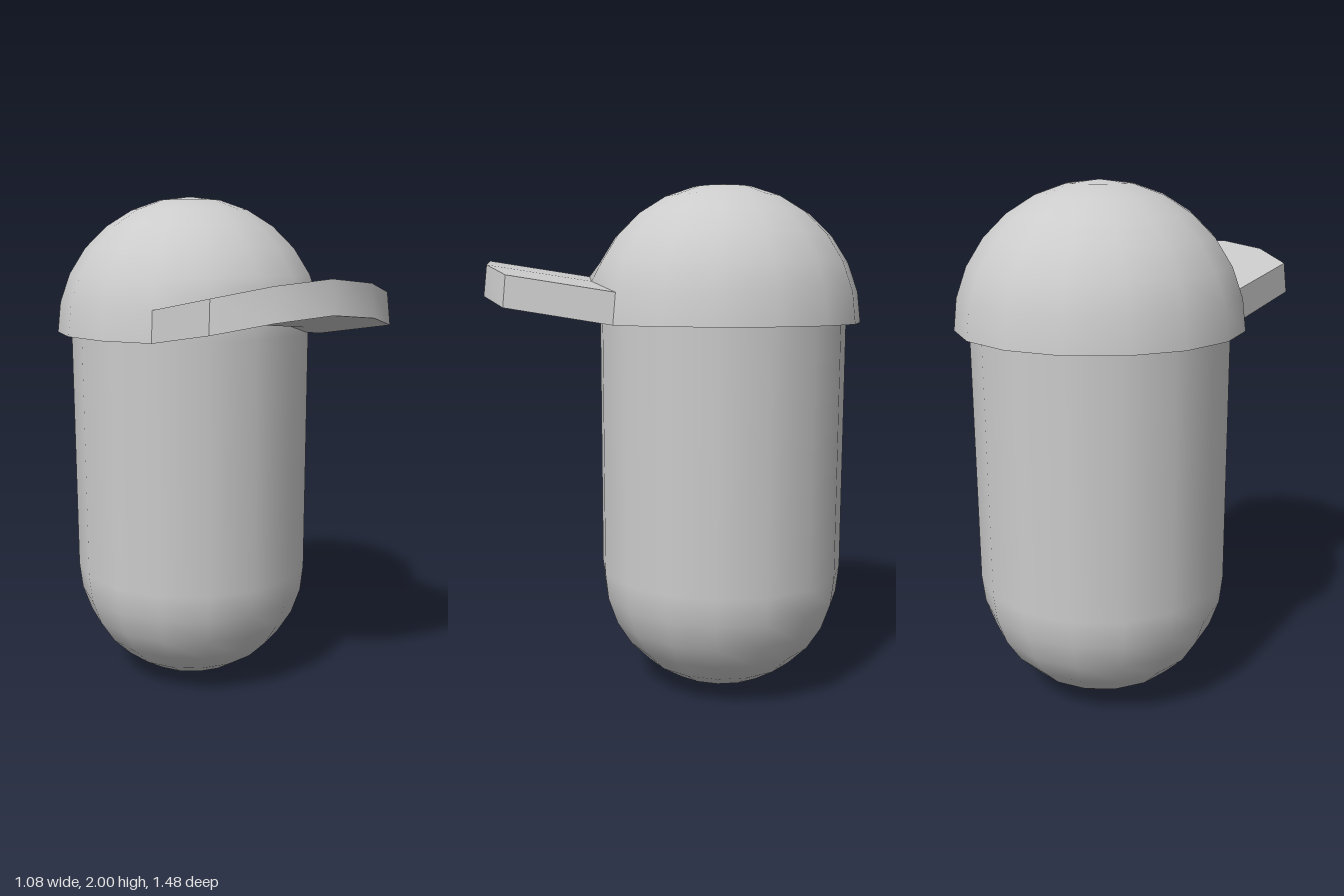
import * as THREE from 'three';
import { toCreasedNormals } from 'three/addons/utils/BufferGeometryUtils.js';

const SIDES = 16, STEP = Math.PI / 8;      // facets around
const RINGS = 7;                           // rings per half dome
const CENTRE_Z = -0.197, BASE_Y = 1.47;
const CAP_R = 0.54, CAP_H = 0.53;
const LIFT = [0.06, 0.04];                 // raised front edge of the cap, from the middle outwards

const material = new THREE.MeshStandardMaterial({ color: 0xcccccc, side: THREE.DoubleSide });

function add(parent, name, geometry) {
  const mesh = new THREE.Mesh(geometry, material);
  mesh.name = name;
  parent.add(mesh);
  return mesh;
}

const frontLift = (angle) => LIFT[Math.round(Math.abs(angle) / STEP)] ?? 0;

// Radius and height of a ring of the cap
function ring(j) {
  const a = (j / RINGS) * Math.PI / 2;
  return new THREE.Vector2(j === RINGS ? 0 : CAP_R * Math.cos(a), BASE_Y + CAP_H * Math.sin(a));
}

// Lathe whose lowest rings rise at the front
function liftedLathe(points) {
  const geometry = new THREE.LatheGeometry(points, SIDES);
  const p = geometry.attributes.position;
  for (let i = 0; i < p.count; i++) {
    if (p.getY(i) < 1.6) p.setY(i, p.getY(i) + frontLift(Math.atan2(p.getX(i), p.getZ(i))));
  }
  return geometry;
}

// Visor pulled forward and up from the two lowest rings of the cap
function visorGeometry() {
  const position = [], index = [];
  for (let i = -2; i <= 2; i++) {
    const a = i * STEP;
    const [low, high] = [0, 1].map((j) => {
      const r = ring(j);
      return [r.x * Math.sin(a), r.y + frontLift(a), r.x * Math.cos(a)];
    });
    const out = ([x, y, z]) => [x, y + 0.062, z + 0.4];
    position.push(...low, ...out(low), ...out(high), ...high);
  }
  for (let i = 0; i < 4; i++) {
    for (let k = 0; k < 4; k++) {
      const a = i * 4 + k, b = i * 4 + (k + 1) % 4;
      index.push(a, a + 4, b, b, a + 4, b + 4);
    }
  }
  index.push(0, 1, 2, 0, 2, 3, 16, 18, 17, 16, 19, 18);   // side edges
  const geometry = new THREE.BufferGeometry();
  geometry.setAttribute('position', new THREE.Float32BufferAttribute(position, 3));
  geometry.setIndex(index);
  return toCreasedNormals(geometry, 0.6);
}

export function createModel() {
  const model = new THREE.Group();
  model.name = 'cappedCapsule';
  model.position.z = CENTRE_Z;

  // Body: capsule whose upper dome sits inside the cap
  const body = add(model, 'body', new THREE.CapsuleGeometry(0.485, BASE_Y - 0.488, RINGS, SIDES));
  body.position.y = (BASE_Y + 0.488) / 2;

  // Cap: dome, flat underside of the rim, and visor
  const cap = new THREE.Group();
  cap.name = 'cap';
  model.add(cap);
  add(cap, 'dome', liftedLathe(Array.from({ length: RINGS + 1 }, (_, j) => ring(j))));
  add(cap, 'rim', liftedLathe([new THREE.Vector2(0.475, BASE_Y), ring(0)]));
  add(cap, 'visor', visorGeometry());

  const root = new THREE.Group();
  root.add(model);
  return root;
}
